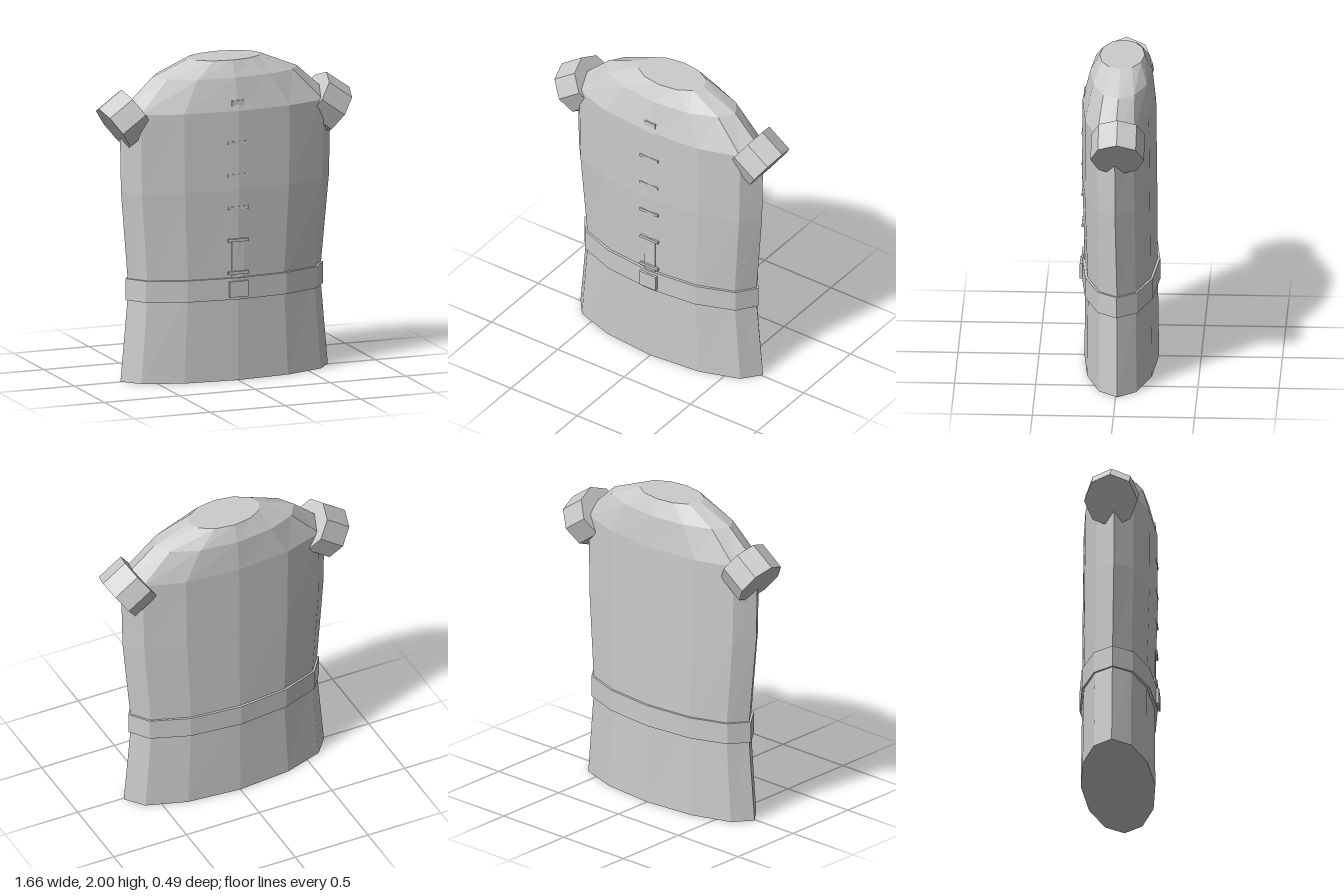
import * as THREE from 'three';

const material = new THREE.MeshStandardMaterial({ color: 0xcccccc, flatShading: true });

function add(parent, name, geometry, x = 0, y = 0, z = 0) {
  const mesh = new THREE.Mesh(geometry, material);
  mesh.name = name;
  mesh.position.set(x, y, z);
  parent.add(mesh);
  return mesh;
}

// Closed twelve-sided loft through oval rings: [y, half width, back z, front z], bottom to top
function ovalLoft(rings) {
  const last = rings.length - 1;
  const geometry = new THREE.CylinderGeometry(1, 1, last, 12, last);
  const p = geometry.attributes.position;
  for (let i = 0; i < p.count; i++) {
    const [y, halfWidth, back, front] = rings[Math.round(p.getY(i) + last / 2)];
    p.setXYZ(i, p.getX(i) * halfWidth, y, (front + back) / 2 + p.getZ(i) * (front - back) / 2);
  }
  geometry.computeVertexNormals();
  return geometry;
}

export function createModel() {
  const model = new THREE.Group();
  model.name = 'tunic';

  // Body with a narrowed waist and rounded shoulders
  add(model, 'body', ovalLoft([
    [0, 0.688, -0.24, 0.22],
    [0.58, 0.636, -0.232, 0.215],
    [1.2, 0.69, -0.228, 0.235],
    [1.7, 0.7, -0.222, 0.232],
    [1.9, 0.482, -0.2, 0.182],
    [2, 0.24, -0.152, 0.127],
  ]));

  // Belt and buckle
  add(model, 'belt', ovalLoft([
    [0.512, 0.655, -0.247, 0.235],
    [0.648, 0.655, -0.247, 0.235],
  ]));
  add(model, 'buckle', new THREE.BoxGeometry(0.124, 0.1, 0.04), -0.002, 0.579, 0.227);

  // Front placket, mostly sunk into the chest
  add(model, 'placket', new THREE.BoxGeometry(0.08, 1.165, 0.03), -0.002, 1.1825, 0.207);

  // Row of fastening bars
  for (let i = 0; i < 5; i++) {
    add(model, 'fastening', new THREE.BoxGeometry(0.135, 0.018, 0.014), -0.002, 0.68 + i * 0.205, 0.2275);
  }

  // Short octagonal sleeves, angled down and outwards
  for (const side of [1, -1]) {
    const sleeve = add(model, side > 0 ? 'leftSleeve' : 'rightSleeve',
      new THREE.CylinderGeometry(0.165, 0.165, 0.186, 8), side * 0.66, 1.652, -0.012);
    const outward = new THREE.Vector3(side * 0.15, -0.107, 0).normalize();
    sleeve.quaternion.setFromUnitVectors(new THREE.Vector3(0, 1, 0), outward);
  }

  return model;
}
